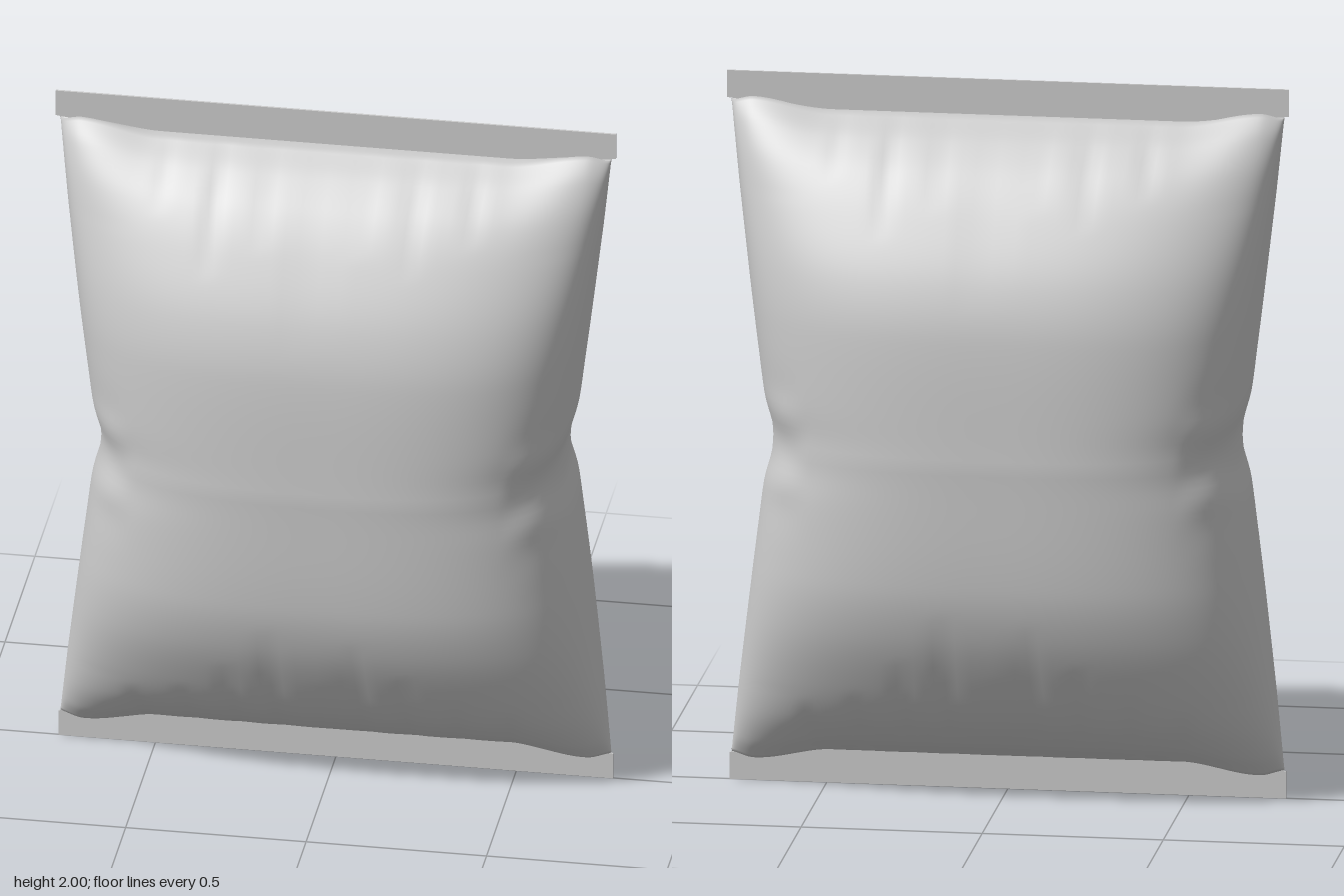
import * as THREE from 'three';

const ROWS = 110, COLS = 200, END = 0.1;

// Smooth interpolation through [position, value] pairs
function sample(points, p) {
  let i = 0;
  while (i < points.length - 2 && p > points[i + 1][0]) i++;
  const slope = (k) => {
    const a = points[Math.max(k - 1, 0)], b = points[Math.min(k + 1, points.length - 1)];
    return (b[1] - a[1]) / (b[0] - a[0]);
  };
  const [x0, y0] = points[i], [x1, y1] = points[i + 1], h = x1 - x0;
  const t = THREE.MathUtils.clamp((p - x0) / h, 0, 1), t2 = t * t, t3 = t2 * t;
  return (2 * t3 - 3 * t2 + 1) * y0 + (t3 - 2 * t2 + t) * h * slope(i)
    + (3 * t2 - 2 * t3) * y1 + (t3 - t2) * h * slope(i + 1);
}

// Half depth and half width by distance from the nearer end
const DEPTH = [[0.1, 0.03], [0.15, 0.11], [0.23, 0.195], [0.35, 0.275], [0.5, 0.347], [0.65, 0.383], [1, 0.4]];
const WIDTH = [[0.1, 0.763], [0.45, 0.718], [0.75, 0.68], [0.87, 0.664], [0.95, 0.643], [1, 0.64]];

// Gathered folds running from the seals: [x, length, strength]
const BOTTOM_FOLDS = [[-0.13, 0.48, 0.02], [0.09, 0.45, 0.02], [-0.25, 0.33, 0.016], [0.22, 0.33, 0.016],
  [-0.38, 0.22, 0.013], [0.36, 0.24, 0.013], [-0.52, 0.18, 0.013], [0.5, 0.18, 0.012], [-0.02, 0.28, 0.012]];
const TOP_FOLDS = [[-0.03, 0.48, 0.018], [-0.3, 0.3, 0.013], [-0.16, 0.22, 0.009], [0.1, 0.22, 0.01],
  [0.24, 0.26, 0.011], [0.4, 0.18, 0.01], [-0.45, 0.16, 0.009]];

function foldDepth(x, y) {
  const folds = y < 1 ? BOTTOM_FOLDS : TOP_FOLDS;
  const e = Math.min(y, 2 - y) - END;
  let sum = 0;
  for (const [fx, length, strength] of folds) {
    const fade = Math.max(0, 1 - e / length);
    const u = (x - fx * (1 + e * 0.15)) / 0.026;
    sum += strength * Math.exp(-u * u) * fade * Math.min(1, 0.3 + e * 8);
  }
  return sum;
}

// Inflated body: superellipse rings, pinched shut at both ends
function bodyGeometry() {
  const pos = [], index = [];
  for (let j = 0; j <= ROWS; j++) {
    const closed = j === 0 || j === ROWS;
    const t = THREE.MathUtils.clamp((j - 1) / (ROWS - 2), 0, 1);
    const s = 0.45 * t + 0.55 * (0.5 - 0.5 * Math.cos(Math.PI * t));
    const y = END + (2 - 2 * END) * s;
    const e = Math.min(y, 2 - y);
    const d = sample(DEPTH, e), w = sample(WIDTH, e);
    for (let i = 0; i < COLS; i++) {
      const a = (i / COLS) * Math.PI * 2, c = Math.cos(a), n = Math.sin(a);
      const x = w * Math.sign(c) * Math.abs(c) ** 0.714;
      const side = Math.abs(n) < 1e-6 ? 0 : Math.sign(n);
      let z = d * Math.abs(n) ** 0.714;
      z = Math.max(0, z - foldDepth(x * side, y) * Math.min(1, z / 0.05));
      // Crumpled creases beside the pinched waist
      const edge = THREE.MathUtils.smoothstep(Math.abs(x), 0.5, 0.6);
      z -= 0.012 * edge * Math.min(1, z / 0.1) * Math.exp(-(((y - 1) / 0.14) ** 2)) * Math.cos((y - 1) * 32);
      // Corners puff out past the pinched centre
      const puff = 0.033 * THREE.MathUtils.smoothstep(Math.abs(x), 0.48, 0.7)
        * (1 - 0.4 * THREE.MathUtils.smoothstep(Math.abs(x), 0.7, 0.765))
        * Math.max(0, 1 - (e - END) / 0.2) * (closed ? 0.6 : 1);
      pos.push(x, y + (y < 1 ? -puff : puff), closed ? 0 : z * side);
    }
  }
  for (let j = 0; j < ROWS; j++) {
    for (let i = 0; i < COLS; i++) {
      const k = (i + 1) % COLS, a = j * COLS + i, b = j * COLS + k;
      index.push(a, a + COLS, b, b, a + COLS, b + COLS);
    }
  }
  const geo = new THREE.BufferGeometry();
  geo.setAttribute('position', new THREE.Float32BufferAttribute(pos, 3));
  geo.setIndex(index);
  geo.computeVertexNormals();
  return geo;
}

// Flat crimped strip with a tongue tucked into the body
function sealGeometry(halfWidth) {
  const shape = new THREE.Shape([[-halfWidth, 0], [halfWidth, 0], [halfWidth, 0.076], [0.74, 0.08],
    [0.6, 0.115], [-0.6, 0.115], [-0.74, 0.08], [-halfWidth, 0.076]].map(([x, y]) => new THREE.Vector2(x, y)));
  return new THREE.ExtrudeGeometry(shape, { depth: 0.006, bevelEnabled: false }).translate(0, 0, -0.003);
}

export function createModel() {
  const group = new THREE.Group();
  group.name = 'pillowBag';
  const material = new THREE.MeshStandardMaterial({ color: 0xcccccc, side: THREE.DoubleSide });
  const add = (geometry, name) => {
    const mesh = new THREE.Mesh(geometry, material);
    mesh.name = name;
    group.add(mesh);
    return mesh;
  };
  add(bodyGeometry(), 'bagBody');
  add(sealGeometry(0.768), 'bottomSeal');
  const top = add(sealGeometry(0.776), 'topSeal');
  top.rotation.z = Math.PI;
  top.position.y = 2;
  return group;
}
